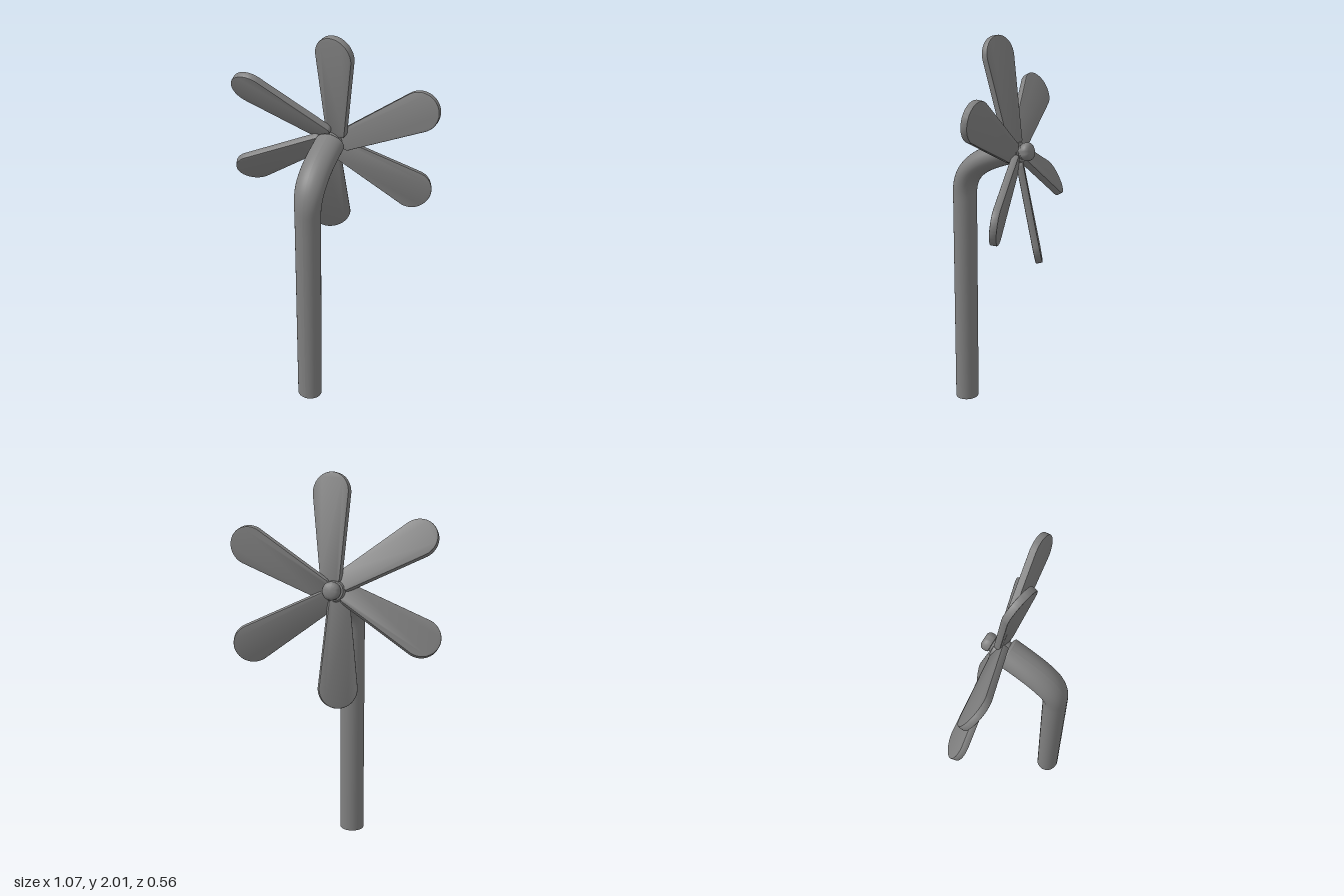
import * as THREE from 'three';
import { toCreasedNormals } from 'three/addons/utils/BufferGeometryUtils.js';

const darkGrey = new THREE.MeshStandardMaterial({ color: 0x808080 });
const lightGrey = new THREE.MeshStandardMaterial({ color: 0xdddddd });

function part(name, geometry, material = darkGrey) {
  const mesh = new THREE.Mesh(geometry, material);
  mesh.name = name;
  return mesh;
}

// Pole that bends backwards at the top; slightly oval, wider along the arm
const RADIUS = 0.062;
const widen = (y) => 1.07 + 0.17 * THREE.MathUtils.smoothstep(y, 1.15, 1.34);

function poleGeometry() {
  const v = (y, z) => new THREE.Vector3(0, y, z);
  const path = new THREE.CurvePath();
  path.add(new THREE.LineCurve3(v(0, 0.217), v(1.18, 0.217)));
  path.add(new THREE.CubicBezierCurve3(v(1.18, 0.217), v(1.33, 0.217), v(1.38, 0.1), v(1.43, -0.055)));
  const geometry = new THREE.TubeGeometry(path, 90, RADIUS, 32);
  const p = geometry.attributes.position;
  for (let i = 0; i < p.count; i++) p.setX(i, p.getX(i) * widen(p.getY(i)));
  geometry.computeVertexNormals();
  return geometry;
}

// Tapered paddle with a round tip and a narrower root with rounded corners
function bladeGeometry() {
  const lean = 0.11, thickness = 0.036, bevel = 0.005;
  const mid = 0.018, half = 0.056, rootY = 0.04, corner = 0.03;
  const shape = new THREE.Shape();
  shape.absarc(0, 0.487, 0.1, -lean, Math.PI + lean, false);
  shape.lineTo(mid - half, rootY + corner);
  shape.quadraticCurveTo(mid - half, rootY, mid - half + corner, rootY);
  shape.lineTo(mid + half - corner, rootY);
  shape.quadraticCurveTo(mid + half, rootY, mid + half, rootY + corner);
  shape.closePath();
  const geometry = new THREE.ExtrudeGeometry(shape, {
    depth: thickness - 2 * bevel, curveSegments: 20,
    bevelThickness: bevel, bevelSize: bevel, bevelOffset: -bevel, bevelSegments: 2,
  });
  geometry.translate(0, 0, -thickness / 2 + bevel);
  return toCreasedNormals(geometry, 0.6);
}

// Collar, neck and flat rounded cap turned around the hub axis
function hubGeometry() {
  const profile = [
    [0, -0.05], [0.052, -0.05], [0.056, -0.04], [0.056, 0.014], [0.05, 0.024],
    [0.036, 0.026], [0.036, 0.036], [0.042, 0.038], [0.046, 0.046], [0.046, 0.066],
    [0.041, 0.077], [0.03, 0.084], [0, 0.085],
  ].map(([r, y]) => new THREE.Vector2(r, y));
  return toCreasedNormals(new THREE.LatheGeometry(profile, 32), 0.7);
}

export function createModel() {
  const model = new THREE.Group();
  model.name = 'pinwheelOnPole';
  model.add(part('pole', poleGeometry()));

  // Light underside and rounded arm end close the tube
  const base = part('poleBase', new THREE.CircleGeometry(RADIUS, 32), lightGrey);
  base.rotation.x = Math.PI / 2;
  base.scale.x = widen(0);
  base.position.z = 0.217;
  model.add(base);

  const armEnd = part('armEnd', new THREE.SphereGeometry(RADIUS, 32, 16));
  armEnd.scale.set(widen(2), 1, 0.3);
  armEnd.rotation.x = 0.28;
  armEnd.position.set(0, 1.43, -0.055);
  model.add(armEnd);

  const centre = new THREE.Vector3(-0.002, 1.43, -0.105);
  const hub = part('hub', hubGeometry());
  hub.position.copy(centre);
  hub.rotation.x = -Math.PI / 2 + 0.2;
  model.add(hub);

  // Six pitched blades on a tilted rotor
  const rotor = new THREE.Group();
  rotor.name = 'rotor';
  rotor.position.copy(centre);
  rotor.lookAt(centre.clone().add(new THREE.Vector3(0.185, -0.2, 1)));
  const blade = bladeGeometry();
  for (let i = 0; i < 6; i++) {
    const mesh = part('blade' + (i + 1), blade);
    mesh.rotation.set(0, THREE.MathUtils.degToRad(-20), -THREE.MathUtils.degToRad(3 + 60 * i), 'ZYX');
    rotor.add(mesh);
  }
  model.add(rotor);
  return model;
}
